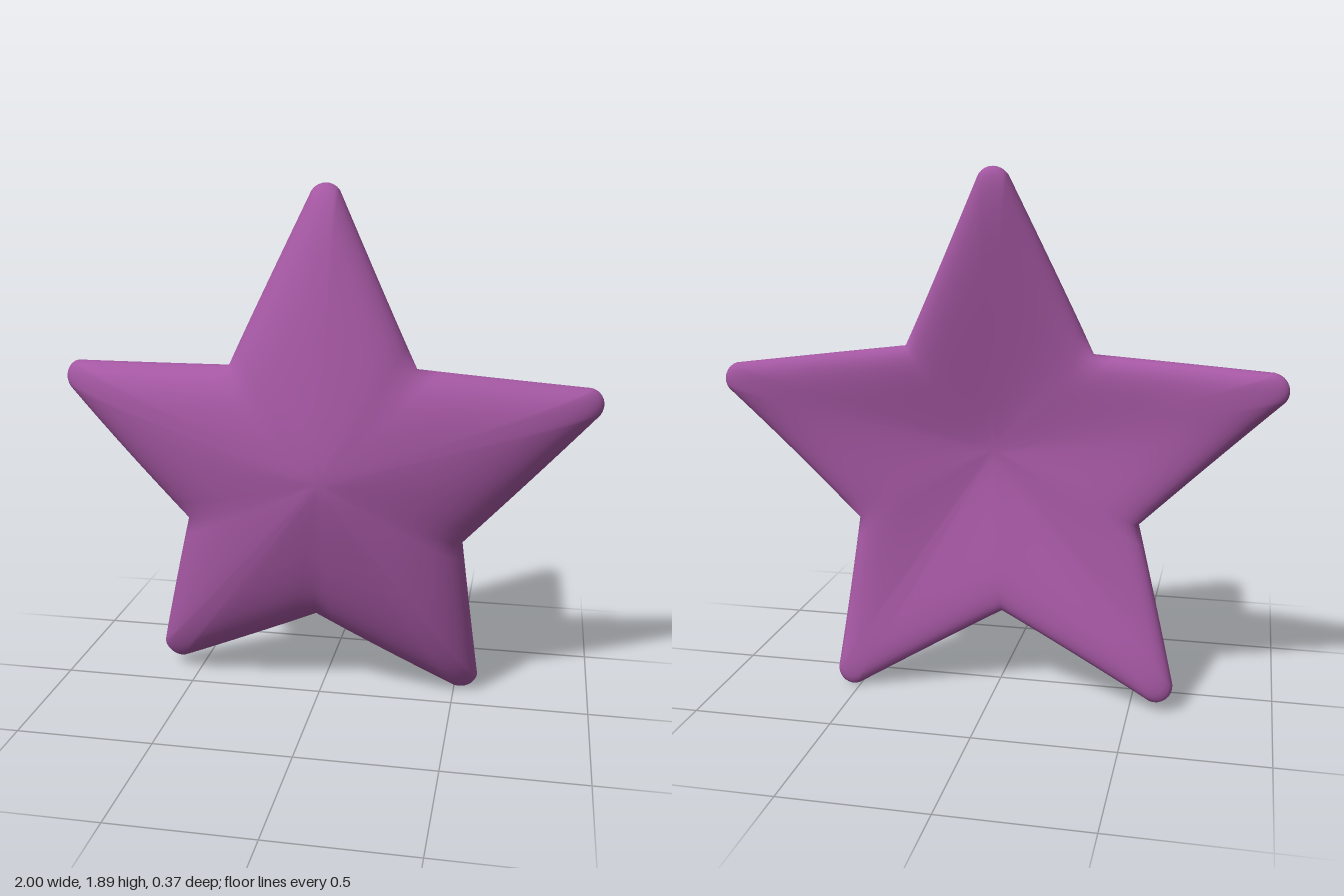
import * as THREE from 'three';

const CENTRE = new THREE.Vector2(0.03, 0.88);
const TIP_RADIUS = 0.062;
// Arm tip centres and the notch that follows each, counter-clockwise from the top
const TIPS = [[0, 1.828], [-0.94, 1.165], [-0.59, 0.097], [0.525, 0.064], [0.933, 1.135]];
const NOTCHES = [[-0.335, 1.25], [-0.51, 0.655], [-0.02, 0.3], [0.52, 0.62], [0.345, 1.26]];

// Star outline: rounded tips joined to sharp notches by straight flanks
function starOutline() {
  const points = [];
  const flank = (from, to) => {
    for (let k = 1; k < 8; k++) points.push(from.clone().lerp(to, k / 8));
  };
  const tips = TIPS.map(([x, y], i) => {
    const c = new THREE.Vector2(x, y);
    const before = new THREE.Vector2(...NOTCHES[(i + 4) % 5]);
    const after = new THREE.Vector2(...NOTCHES[i]);
    // Turn each end of the arc so that the flank leaves it at a tangent
    const tangent = (notch) => Math.asin(TIP_RADIUS / c.distanceTo(notch));
    const a = c.clone().sub(before).angle() - Math.PI / 2 + tangent(before);
    let b = after.clone().sub(c).angle() - Math.PI / 2 - tangent(after);
    while (b < a) b += Math.PI * 2;
    const arc = [];
    for (let k = 0; k <= 8; k++) {
      const t = a + (b - a) * k / 8;
      arc.push(new THREE.Vector2(x + TIP_RADIUS * Math.cos(t), y + TIP_RADIUS * Math.sin(t)));
    }
    return arc;
  });
  tips.forEach((arc, i) => {
    const notch = new THREE.Vector2(...NOTCHES[i]);
    points.push(...arc);
    flank(arc[8], notch);
    points.push(notch);
    flank(notch, tips[(i + 1) % 5][0]);
  });
  return points;
}

// Middle of the thickness: a blunt cone, with the lower arms curling further back
function middle(x, y) {
  const r = Math.hypot(x - CENTRE.x, y - CENTRE.y, 0.1);
  return 0.1 - 0.226 * r - 0.04 * Math.max(0, CENTRE.y - y) ** 3;
}

// How far the surface sinks back in the valleys that lead to the lower notches
function valley(p) {
  const nearNotch = THREE.MathUtils.clamp((1 - p.distanceTo(CENTRE)) / 0.45, 0, 1);
  return 0.026 * nearNotch * THREE.MathUtils.clamp((1.35 - p.y) / 0.6, 0, 1);
}

// Concentric outlines run from the front centre, round the rim, to the back centre
function starGeometry() {
  const outline = starOutline();
  const n = outline.length;
  const rings = 18;
  const peak = middle(CENTRE.x, CENTRE.y);
  const front = 0.105, back = 0.068;
  const positions = [CENTRE.x, CENTRE.y, peak + front];
  const index = [];
  for (let j = 1; j < 2 * rings; j++) {
    const s = Math.sin(Math.PI / 2 * j / rings);
    const h = j <= rings
      ? front * Math.sqrt(Math.max(0, 1 - s ** 5))
      : -back * Math.sqrt(Math.max(0, 1 - s ** 8));
    for (const p of outline) {
      const q = CENTRE.clone().lerp(p, s);
      positions.push(q.x, q.y, middle(q.x, q.y) - valley(p) * s + h);
    }
  }
  const last = positions.length / 3;
  positions.push(CENTRE.x, CENTRE.y, peak - back);
  for (let i = 0; i < n; i++) {
    const k = (i + 1) % n;
    index.push(0, 1 + i, 1 + k);
    for (let j = 0; j < 2 * rings - 2; j++) {
      const a = 1 + j * n + i, b = 1 + j * n + k;
      index.push(a, a + n, b + n, a, b + n, b);
    }
    index.push(last, last - n + k, last - n + i);
  }
  const geometry = new THREE.BufferGeometry();
  geometry.setAttribute('position', new THREE.Float32BufferAttribute(positions, 3));
  geometry.setIndex(index);
  geometry.computeVertexNormals();
  return geometry;
}

export function createModel() {
  const purple = new THREE.MeshStandardMaterial({ color: 0xa457a2 });
  purple.name = 'purple skin';
  const body = new THREE.Mesh(starGeometry(), purple);
  body.name = 'starfishBody';
  const group = new THREE.Group();
  group.name = 'starfish';
  group.add(body);
  return group;
}
